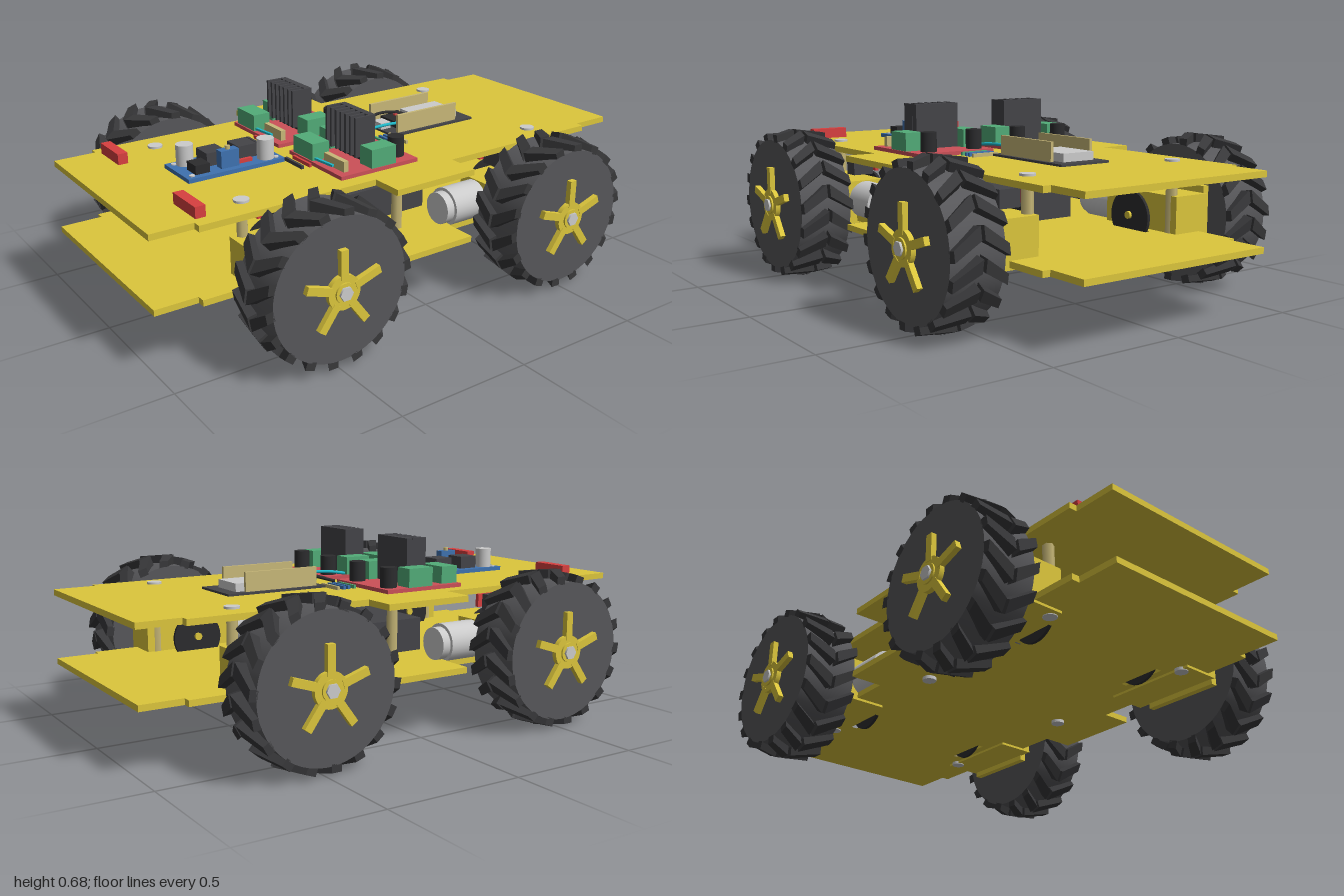
import * as THREE from 'three';

const C = { yellow: 0xdcc63c, dark: 0x444448, tyre: 0x57575a, lug: 0x38383a, silver: 0xcccccc, tan: 0xc8b878,
  red: 0xd84040, board: 0xcc5058, green: 0x52ac78, blue: 0x3f72b0, cyan: 0x20b8c8, black: 0x2c2c2e };
const mats = {};
const mat = (c) => (mats[c] ??= new THREE.MeshStandardMaterial({ color: C[c] }));

function add(parent, name, geo, color, x = 0, y = 0, z = 0) {
  const m = new THREE.Mesh(geo, mat(color));
  m.name = name;
  m.position.set(x, y, z);
  parent.add(m);
  return m;
}
// Box given by its bounds
function box(parent, name, color, x0, x1, y0, y1, z0, z1) {
  return add(parent, name, new THREE.BoxGeometry(x1 - x0, y1 - y0, z1 - z0), color,
    (x0 + x1) / 2, (y0 + y1) / 2, (z0 + z1) / 2);
}
// Upright cylinder between two heights
function post(parent, name, color, x, z, r, y0, y1, sides = 24) {
  return add(parent, name, new THREE.CylinderGeometry(r, r, y1 - y0, sides), color, x, (y0 + y1) / 2, z);
}
// Cylinder along x
function axle(parent, name, color, r, x0, x1, sides = 32) {
  const g = new THREE.CylinderGeometry(r, r, x1 - x0, sides).rotateZ(-Math.PI / 2);
  return add(parent, name, g, color, (x0 + x1) / 2, 0, 0);
}

// Chassis deck with stepped outline and optional slots
function deck(name, y, slots) {
  const half = [[0.39, 1], [0.39, 0.845], [0.42, 0.845], [0.42, 0.17], [0.54, 0.17]];
  const right = [...half, ...half.map(([x, z]) => [x, -z]).reverse()];
  const pts = [...right, ...right.map(([x, z]) => [-x, z]).reverse()];
  const shape = new THREE.Shape(pts.map(([x, z]) => new THREE.Vector2(x, z)));
  for (const [x, z, w, l] of slots) {
    shape.holes.push(new THREE.Path([[-w, -l], [-w, l], [w, l], [w, -l]].map(([a, b]) => new THREE.Vector2(x + a, z + b))));
  }
  const geo = new THREE.ExtrudeGeometry(shape, { depth: 0.022, bevelEnabled: false }).rotateX(Math.PI / 2);
  const m = new THREE.Mesh(geo, mat('yellow'));
  m.name = name;
  m.position.y = y;
  return m;
}

// One half of a chevron tread block: skewed along the tread, lower at the shoulder
function lugGeometry(side) {
  const g = new THREE.BoxGeometry(0.094, 0.04, 0.046);
  const p = g.attributes.position;
  for (let i = 0; i < p.count; i++) {
    const t = p.getX(i) / 0.094 + 0.5;
    if (p.getY(i) > 0) p.setY(i, 0.021 - 0.012 * t);
    p.setZ(i, p.getZ(i) * (1 - 0.2 * t) + 0.03 - 0.06 * t);
    p.setX(i, side * (0.006 + 0.094 * t));
  }
  if (side < 0) g.setIndex([...g.index.array].reverse());
  g.computeVertexNormals();
  return g;
}

function wheel() {
  const w = new THREE.Group();
  w.name = 'wheel';
  axle(w, 'tyre', 'tyre', 0.25, -0.1, 0.1, 48);
  const lugs = [lugGeometry(1), lugGeometry(-1)];
  const n = 18;
  for (let i = 0; i < n; i++) {
    const a = (i / n) * Math.PI * 2;
    for (const g of lugs) {
      const m = add(w, 'treadBlock', g, 'lug', 0, 0.263 * Math.cos(a), 0.263 * Math.sin(a));
      m.rotation.x = a;
    }
  }
  // Hub with five spokes
  axle(w, 'hub', 'yellow', 0.06, 0.09, 0.118);
  axle(w, 'hubCollar', 'yellow', 0.035, 0.1, 0.124);
  axle(w, 'axleNut', 'silver', 0.025, 0.1, 0.132, 6);
  for (let i = 0; i < 5; i++) {
    const a = (i / 5) * Math.PI * 2;
    const s = add(w, 'spoke', new THREE.BoxGeometry(0.024, 0.1, 0.028), 'yellow', 0.108, 0.095 * Math.cos(a), 0.095 * Math.sin(a));
    s.rotation.x = a;
  }
  return w;
}

// Wheel, gearbox, motor and encoder for one corner
function driveUnit(sx, sz) {
  const d = new THREE.Group();
  d.name = 'driveUnit';
  const w = wheel();
  w.position.set(sx * 0.585, 0.285, sz * 0.5);
  if (sx < 0) {
    // Turned about, then spun so the tread keeps its direction
    w.rotation.y = Math.PI;
    for (const m of w.children) {
      if (m.name !== 'treadBlock') continue;
      m.rotation.x *= -1;
      m.rotation.y = Math.PI;
      m.position.z *= -1;
      m.rotation.order = 'XYZ';
    }
  }
  d.add(w);
  const bx = (name, c, x0, x1, y0, y1, z0, z1) => box(d, name, c, Math.min(sx * x0, sx * x1), Math.max(sx * x0, sx * x1),
    y0, y1, Math.min(sz * z0, sz * z1), Math.max(sz * z0, sz * z1));
  bx('gearbox', 'yellow', 0.305, 0.455, 0.21, 0.375, 0.32, 0.68);
  bx('motorBracket', 'yellow', 0.45, 0.475, 0.19, 0.4, 0.37, 0.67);
  bx('encoderBody', 'dark', 0.265, 0.35, 0.375, 0.44, 0.47, 0.53);
  bx('encoderBoard', 'red', 0.25, 0.265, 0.39, 0.44, 0.45, 0.55);
  const shaft = axle(d, 'shaft', 'yellow', 0.014, 0.24, 0.5, 16);
  shaft.position.set(sx * 0.37, 0.292, sz * 0.5);
  const disc = axle(d, 'encoderDisc', 'black', 0.095, 0, 0.012);
  disc.position.set(sx * 0.256, 0.288, sz * 0.5);
  const motor = add(d, 'motor', new THREE.CylinderGeometry(0.072, 0.072, 0.15, 32).rotateX(Math.PI / 2), 'silver', sx * 0.38, 0.3, sz * 0.25);
  const cap = add(d, 'motorCap', new THREE.CylinderGeometry(0.06, 0.06, 0.035, 32).rotateX(Math.PI / 2), 'silver', sx * 0.38, 0.3, sz * 0.16);
  motor.castShadow = cap.castShadow = false;
  return d;
}

// Motor driver board with heat sink, terminals and capacitors
function driverBoard(cx) {
  const b = new THREE.Group();
  b.name = 'motorDriver';
  b.position.x = cx;
  box(b, 'board', 'board', -0.165, 0.165, 0.498, 0.512, -0.055, 0.275);
  for (const s of [-1, 1]) {
    box(b, 'sideTerminal', 'green', s * 0.127 - 0.035, s * 0.127 + 0.035, 0.512, 0.58, 0.04, 0.145);
    post(b, 'capacitor', 'black', s * 0.1 - 0.005, -0.01, 0.03, 0.512, 0.585);
  }
  box(b, 'powerTerminal', 'green', -0.145, -0.02, 0.512, 0.575, 0.2, 0.27);
  box(b, 'pinHeader', 'tan', 0.015, 0.135, 0.512, 0.55, 0.225, 0.245);
  box(b, 'heatSinkBack', 'dark', -0.092, 0.092, 0.512, 0.68, 0.08, 0.105);
  for (let i = 0; i < 7; i++) {
    const x = -0.088 + i * 0.0293;
    box(b, 'heatSinkFin', 'dark', x - 0.005, x + 0.005, 0.535, 0.68, 0.105, 0.165);
  }
  box(b, 'chip', 'black', -0.07, 0.07, 0.512, 0.58, 0.105, 0.125);
  const wire = box(b, 'jumperWire', 'cyan', -0.01, 0.085, 0.52, 0.528, 0.255, 0.265);
  wire.rotation.y = 0.1;
  return b;
}

export function createModel() {
  const model = new THREE.Group();
  model.name = 'fourWheelRover';

  // Decks, standoffs and screws
  const slots = [];
  for (const x of [-0.262, 0.262]) for (const z of [-0.5, 0.5]) slots.push([x, z, 0.012, 0.085]);
  model.add(deck('topDeck', 0.497, []), deck('bottomDeck', 0.241, slots));
  for (const x of [-0.32, 0.32]) for (const z of [-0.64, 0, 0.64]) {
    post(model, 'standoff', 'tan', x, z, 0.021, 0.241, 0.475, 6);
    post(model, 'topScrew', 'silver', x, z, 0.027, 0.495, 0.505);
    post(model, 'bottomScrew', 'silver', x, z, 0.025, 0.207, 0.222);
  }
  for (const sx of [-1, 1]) for (const sz of [-1, 1]) model.add(driveUnit(sx, sz));

  // Battery box with buttons
  box(model, 'batteryBox', 'dark', -0.225, 0.225, 0.245, 0.368, -0.2, 0.2);
  [[-0.06, 'red'], [0, 'red'], [0.06, 'black']].forEach(([x, c]) => {
    add(model, 'button', new THREE.CylinderGeometry(0.012, 0.012, 0.012, 16).rotateX(Math.PI / 2), c, x, 0.311, 0.205);
  });

  // Motor drivers and loose strips around them
  model.add(driverBoard(-0.205), driverBoard(0.2));
  const strips = [['tan', -0.145], ['blue', -0.12], ['blue', -0.1], ['green', -0.075], ['red', 0.287], ['dark', 0.32]];
  for (const s of [-1, 1]) for (const [c, z] of strips) {
    box(model, 'pinStrip', c, s * 0.137 - 0.055, s * 0.137 + 0.055, 0.497, 0.51, z - 0.005, z + 0.005);
  }

  // Controller board between low side walls
  box(model, 'controllerBoard', 'dark', -0.108, 0.105, 0.497, 0.505, -0.545, -0.15);
  for (const x of [-0.088, 0.085]) box(model, 'headerWall', 'tan', x - 0.006, x + 0.006, 0.505, 0.575, -0.47, -0.18);
  box(model, 'shieldCan', 'silver', -0.075, 0.06, 0.505, 0.535, -0.5, -0.32);
  box(model, 'controllerChip', 'black', -0.06, 0.05, 0.505, 0.53, -0.31, -0.21);
  box(model, 'port', 'silver', -0.03, 0.025, 0.505, 0.53, -0.195, -0.15);
  for (const x of [-0.03, 0.02]) box(model, 'chipPart', 'red', x - 0.006, x + 0.006, 0.53, 0.535, -0.27, -0.255);
  const cable = (name, c, pts) => add(model, name, new THREE.TubeGeometry(
    new THREE.CatmullRomCurve3(pts.map((p) => new THREE.Vector3(...p))), 20, 0.006, 8), c);
  cable('signalCable', 'cyan', [[0.05, 0.51, -0.3], [0.052, 0.53, -0.2], [0.055, 0.53, -0.05], [0.058, 0.515, 0.05]]);
  cable('groundCable', 'black', [[-0.06, 0.53, -0.3], [-0.06, 0.54, -0.2], [-0.06, 0.51, -0.08]]);

  // Voltage converter
  box(model, 'converterBoard', 'blue', -0.095, 0.09, 0.497, 0.512, 0.33, 0.71);
  for (const [x, z] of [[0.05, 0.385], [-0.055, 0.65]]) post(model, 'canCapacitor', 'silver', x, z, 0.031, 0.512, 0.587);
  box(model, 'inductor', 'dark', -0.065, 0.015, 0.512, 0.56, 0.4, 0.475);
  box(model, 'inductor', 'dark', -0.065, 0.015, 0.512, 0.56, 0.525, 0.6);
  box(model, 'diode', 'black', 0, 0.065, 0.512, 0.545, 0.615, 0.67);
  box(model, 'trimmer', 'blue', 0.03, 0.065, 0.512, 0.575, 0.5, 0.57);
  post(model, 'trimmerScrew', 'tan', 0.047, 0.535, 0.009, 0.575, 0.588, 12);
  box(model, 'resistor', 'red', 0.038, 0.052, 0.512, 0.525, 0.44, 0.5);
  for (const x of [-0.072, 0.066]) for (const z of [0.353, 0.685]) post(model, 'converterScrew', 'silver', x, z, 0.01, 0.512, 0.516, 12);

  // Front lamps
  for (const s of [-1, 1]) box(model, 'lamp', 'red', s * 0.292 - 0.076, s * 0.292 + 0.076, 0.497, 0.537, 0.793, 0.83);

  return model;
}
